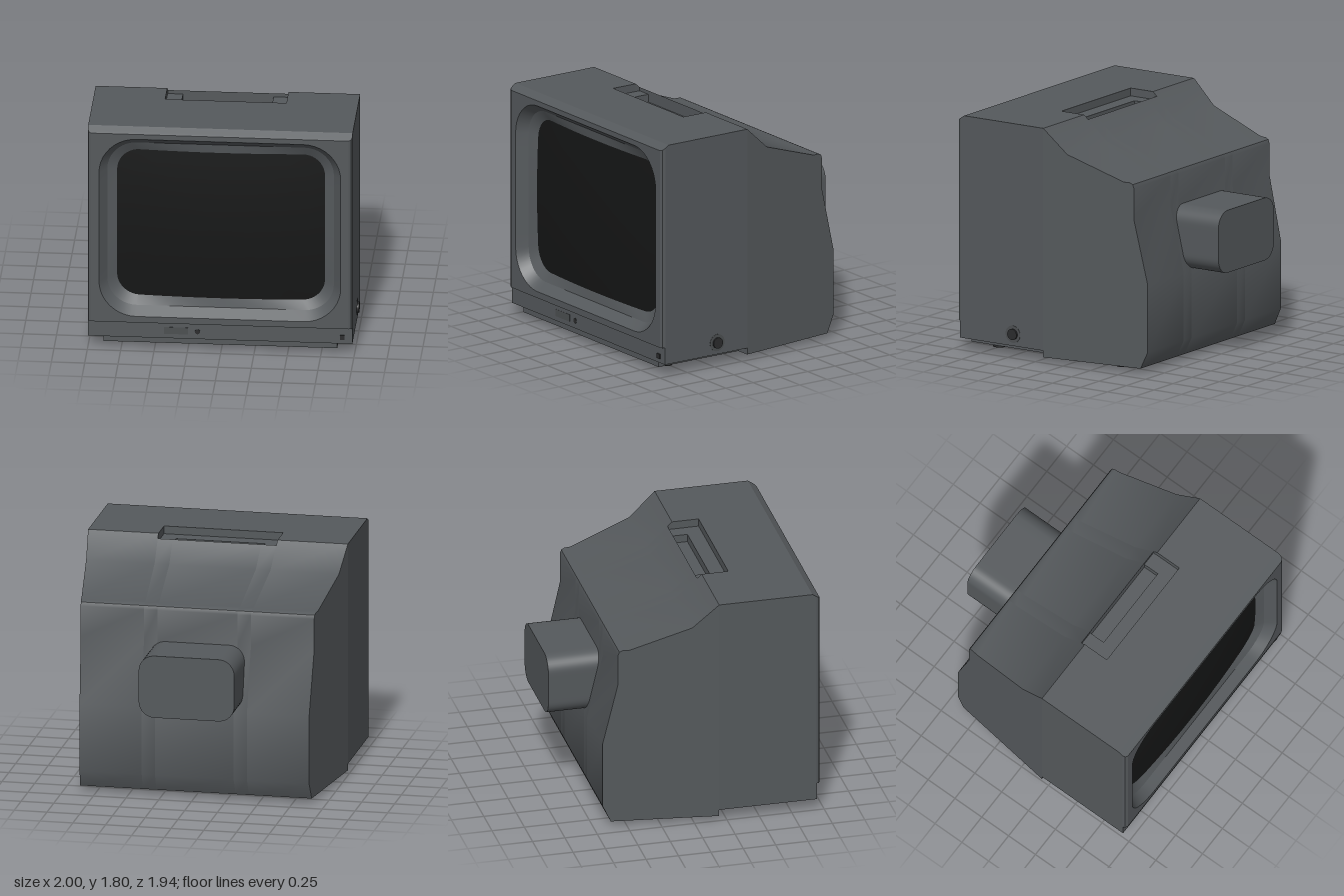
import * as THREE from 'three';
import { toCreasedNormals } from 'three/addons/utils/BufferGeometryUtils.js';

const material = (color, side = THREE.FrontSide) => new THREE.MeshStandardMaterial({ color, side });
const shell = material(0x55595c);
const dark = material(0x2b2c2d);
const badgeGrey = material(0x4c4f51);
const glass = material(0x151616);

const HALF = 0.9925; // half width of the case
const SPLIT = 0.19; // z where the sides start to taper

// Rounded rectangle, counter-clockwise, with subdivided straight sides
function ring(hw, y0, y1, r, zAt) {
  const pts = [];
  const corners = [[hw - r, y0 + r, -0.5], [hw - r, y1 - r, 0], [-hw + r, y1 - r, 0.5], [-hw + r, y0 + r, 1]];
  const arcPoint = ([x, y, a], t) => {
    const angle = (a + t / 2) * Math.PI;
    return new THREE.Vector3(x + r * Math.cos(angle), y + r * Math.sin(angle), 0);
  };
  corners.forEach((corner, i) => {
    for (let k = 0; k <= 10; k++) pts.push(arcPoint(corner, k / 10));
    const from = arcPoint(corner, 1), to = arcPoint(corners[(i + 1) % 4], 0);
    for (let k = 1; k < 8; k++) pts.push(from.clone().lerp(to, k / 8));
  });
  pts.forEach((p) => { p.z = zAt(p.x, p.y); });
  return pts;
}

// Skin joining closed rings of equal length
function loft(rings, crease = 0.5) {
  const n = rings[0].length, index = [];
  for (let i = 0; i < rings.length - 1; i++) {
    for (let j = 0; j < n; j++) {
      const a = i * n + j, b = i * n + (j + 1) % n;
      index.push(a, b, a + n, b, b + n, a + n);
    }
  }
  const geometry = new THREE.BufferGeometry().setFromPoints(rings.flat());
  geometry.setIndex(index);
  return toCreasedNormals(geometry, crease);
}

// Side profile of [z, y] points swept from x0 to x1, narrowing behind the split
function sweepX(profile, x0, x1) {
  const shape = new THREE.Shape(profile.map(([z, y]) => new THREE.Vector2(z, y)));
  const geometry = new THREE.ExtrudeGeometry(shape, { depth: x1 - x0, bevelEnabled: false });
  geometry.rotateY(-Math.PI / 2).translate(x1, 0, 0);
  const pos = geometry.attributes.position;
  for (let i = 0; i < pos.count; i++) {
    const taper = 1 - 0.134 * Math.max(0, SPLIT - pos.getZ(i));
    pos.setX(i, pos.getX(i) * taper);
  }
  return toCreasedNormals(geometry, 0.6);
}

export function createModel() {
  const root = new THREE.Group();
  const monitor = new THREE.Group();
  monitor.name = 'monitor';
  monitor.position.x = -0.0075;
  root.add(monitor);

  const add = (name, geometry, mat, x = 0, y = 0, z = 0) => {
    const mesh = new THREE.Mesh(geometry, mat);
    mesh.name = name;
    mesh.position.set(x, y, z);
    monitor.add(mesh);
    return mesh;
  };
  const box = (name, x0, x1, y0, y1, z0, z1, mat) =>
    add(name, new THREE.BoxGeometry(x1 - x0, y1 - y0, z1 - z0), mat, (x0 + x1) / 2, (y0 + y1) / 2, (z0 + z1) / 2);

  // Case, swept in strips across x; the middle strips step down into the handle recess
  const rearTail = [[-0.01, 1.62], [-0.48, 1.46], [-0.53, 1.46], [-0.555, 1.448], [-0.565, 1.42],
    [-0.565, 1.18], [-0.68, 0.69], [-0.68, 0.17], [-0.62, 0.04], [SPLIT, 0.04]];
  const floor = 1.74, slotFloor = 1.68, lip = [0.155, 1.7685];
  const frontTops = [
    [[SPLIT, 1.8]],
    [[0.395, 1.8], [0.395, floor], [SPLIT, floor]],
    [[0.395, 1.8], [0.395, floor], [0.28, floor], [0.28, slotFloor], [SPLIT, slotFloor]],
  ];
  const rearTops = [
    [[SPLIT, 1.8]],
    [[SPLIT, floor], [0.155, floor], lip],
    [[SPLIT, slotFloor], [0.155, slotFloor], lip],
  ];
  const strips = [[-HALF, -0.455, 0], [-0.455, -0.34, 1], [-0.34, 0.34, 2], [0.34, 0.455, 1], [0.455, HALF, 0]];
  for (const [x0, x1, kind] of strips) {
    const front = [[SPLIT, 0.09], [0.75, 0.09], [0.75, 1.8], ...frontTops[kind]];
    add('frontCase', sweepX(front, x0, x1), shell);
    add('rearCase', sweepX([...rearTops[kind], ...rearTail], x0, x1), shell);
  }

  // Bezel: outer skin with a chamfered top and softened side edges
  const rect = (hw, y0, y1, z) =>
    [[-hw, y0], [hw, y0], [hw, y1], [-hw, y1]].map(([x, y]) => new THREE.Vector3(x, y, z));
  const sections = [[0.75, HALF, 1.8], [0.91, HALF, 1.8], [0.94, HALF, 1.78], [0.96, 0.985, 1.767], [0.97, 0.965, 1.76]];
  add('bezelSides', loft(sections.map(([z, hw, top]) => rect(hw, 0.22, top, z)), 0.1), shell);

  // Bezel front with the screen opening
  const opening = ring(0.907, 0.27, 1.72, 0.28, () => 0.97);
  const face = new THREE.Shape(rect(0.965, 0.22, 1.76, 0).map((p) => new THREE.Vector2(p.x, p.y)));
  face.holes.push(new THREE.Path(opening.map((p) => new THREE.Vector2(p.x, p.y))));
  add('bezelFace', new THREE.ShapeGeometry(face), shell, 0, 0, 0.97);

  // Stepped surround leading in to the domed screen
  const dome = (x, y) => 0.9 - 0.06 * (x * x + (y - 1) ** 2);
  const step = ring(0.85, 0.33, 1.66, 0.22, () => 0.89);
  const edge = ring(0.78, 0.4, 1.59, 0.17, dome);
  add('outerSurround', loft([opening, step]), shell);
  add('innerSurround', loft([step, edge]), shell);
  const screenRings = [1, 0.85, 0.7, 0.55, 0.4, 0.25, 0.1, 0].map((s) => edge.map((p) => {
    const x = p.x * s, y = 0.995 + (p.y - 0.995) * s;
    return new THREE.Vector3(x, y, dome(x, y));
  }));
  add('screen', loft(screenRings), glass);

  // Control strip below the screen and the inset base
  box('controlStrip', -HALF, HALF, 0.09, 0.22, 0.75, 0.945, shell);
  box('base', -0.877, 0.877, 0.04, 0.09, SPLIT, 0.92, shell);
  box('badgePlate', -0.42, -0.24, 0.125, 0.18, 0.94, 0.947, badgeGrey);
  box('powerButton', 0.9, 0.935, 0.123, 0.16, 0.94, 0.955, dark);
  const lamp = new THREE.CylinderGeometry(0.02, 0.02, 0.01, 24).rotateX(Math.PI / 2);
  add('indicatorLamp', lamp, dark, -0.17, 0.15, 0.943);

  // Side dial with a flush collar
  const disc = (r, depth) => new THREE.CylinderGeometry(r, r, depth, 32).rotateZ(Math.PI / 2);
  add('dialCollar', disc(0.066, 0.01), badgeGrey, HALF - 0.003, 0.18, 0.465);
  add('dial', disc(0.042, 0.04), dark, HALF - 0.005, 0.18, 0.465);

  // Tube neck housing at the back
  const neck = new THREE.Shape(ring(0.365, 0.7, 1.18, 0.12, () => 0).map((p) => new THREE.Vector2(p.x, p.y)));
  const neckGeometry = new THREE.ExtrudeGeometry(neck, { depth: 0.47, bevelEnabled: false });
  add('neckHousing', toCreasedNormals(neckGeometry, 0.5), shell, 0, 0, -0.97);

  // Feet
  for (const x of [-0.74, 0.74]) {
    for (const z of [0.76, -0.36]) {
      add('foot', new THREE.CylinderGeometry(0.05, 0.05, 0.05, 24), dark, x, 0.025, z);
    }
  }
  return root;
}
